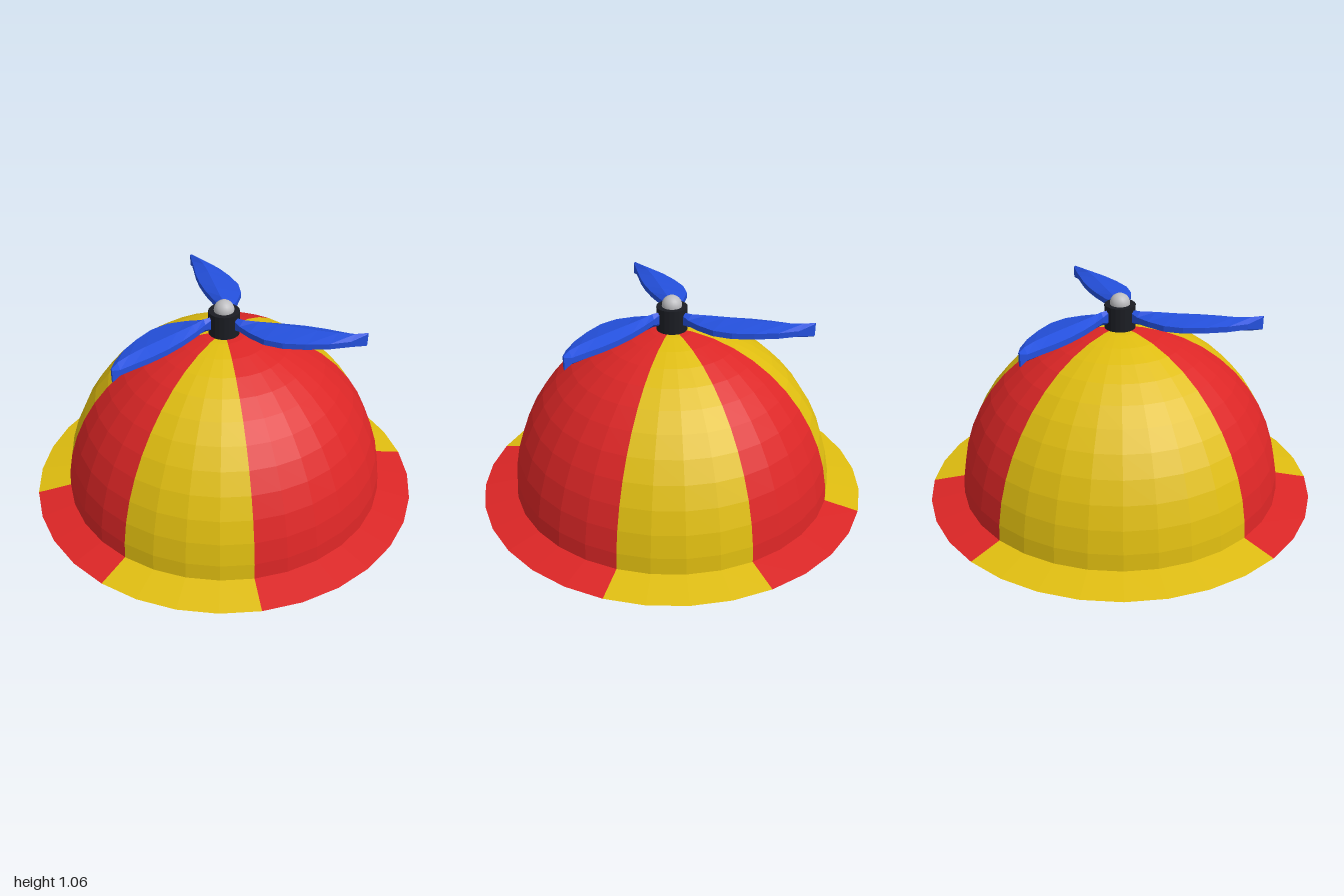
import * as THREE from 'three';

// Faceted copy of a geometry
function flat(geo) {
  const g = geo.index ? geo.toNonIndexed() : geo;
  g.computeVertexNormals();
  return g;
}

// One propeller blade: lens-shaped sections running from hub to tip
// Each station: x, z of back edge, z of ridge, z of front edge
function bladeGeometry() {
  const stations = [
    [0.05, -0.008, 0.0, 0.008], [0.11, -0.025, -0.005, 0.028], [0.18, -0.07, -0.035, 0.05],
    [0.27, -0.12, -0.065, 0.063], [0.36, -0.16, -0.095, 0.042], [0.45, -0.19, -0.125, -0.01],
    [0.54, -0.212, -0.16, -0.078], [0.61, -0.23, -0.198, -0.152], [0.652, -0.245, -0.238, -0.228],
  ];
  const top = 0.985, bottom = 0.915, mid = 0.95, n = 6;
  const pos = [], idx = [];
  stations.forEach(([x, back, ridge, front], i) => {
    const end = i === 0 || i === stations.length - 1;
    const h = end ? 0.03 : 0.014;
    pos.push(x, mid + h, back, x, top, ridge, x, mid + h, front);
    pos.push(x, mid - h, front, x, bottom, ridge, x, mid - h, back);
  });
  for (let i = 0; i < stations.length - 1; i++) {
    for (let j = 0; j < n; j++) {
      const a = i * n + j, b = i * n + (j + 1) % n;
      idx.push(a, b, a + n, b, b + n, a + n);
    }
  }
  // End caps
  const last = (stations.length - 1) * n;
  for (let j = 1; j < n - 1; j++) {
    idx.push(0, j + 1, j, last, last + j, last + j + 1);
  }
  const g = new THREE.BufferGeometry();
  g.setAttribute('position', new THREE.Float32BufferAttribute(pos, 3));
  g.setIndex(idx);
  return flat(g);
}

export function createModel() {
  const material = (name, color, side = THREE.FrontSide) => {
    const m = new THREE.MeshStandardMaterial({ color, side });
    m.name = name;
    return m;
  };
  const red = material('red', 0xdc2626, THREE.DoubleSide);
  const yellow = material('yellow', 0xdfbd10, THREE.DoubleSide);
  const blue = material('blue', 0x2450dc, THREE.DoubleSide);
  const black = material('black', 0x1b1d23);
  const silver = material('silver', 0xbdbdc0);

  const model = new THREE.Group();
  model.name = 'propellerHat';
  const add = (name, geo, mat, y = 0) => {
    const mesh = new THREE.Mesh(geo, mat);
    mesh.name = name;
    mesh.position.y = y;
    model.add(mesh);
    return mesh;
  };

  // Profiles of dome and brim
  const radius = 0.83, height = 0.89, rows = 12;
  const dome = [];
  for (let i = 0; i <= rows; i++) {
    const a = (i / rows) * Math.PI / 2;
    dome.push(new THREE.Vector2(i === rows ? 0 : radius * Math.cos(a), height * Math.sin(a)));
  }
  const brim = [new THREE.Vector2(1, 0), new THREE.Vector2(radius - 0.002, 0.03)];

  // Coloured panels: start and width in eighths of a turn, from the front towards +x
  const panels = [
    [0, 1, yellow], [1, 2, red], [3, 1, yellow], [4, 1, red], [5, 2, yellow], [7, 1, red],
  ];
  panels.forEach(([start, width, mat], i) => {
    const arc = [width * 4, start * Math.PI / 4, width * Math.PI / 4];
    add(`domePanel${i + 1}`, flat(new THREE.LatheGeometry(dome, ...arc)), mat);
    add(`brimPanel${i + 1}`, flat(new THREE.LatheGeometry(brim, ...arc)), mat);
  });

  // Hub and ball on top
  add('hub', flat(new THREE.CylinderGeometry(0.077, 0.077, 0.12, 20)), black, 0.945);
  add('ball', new THREE.SphereGeometry(0.05, 20, 14), silver, 1.01);

  // Three blades
  const blade = bladeGeometry();
  for (let i = 0; i < 3; i++) {
    add(`blade${i + 1}`, blade, blue).rotation.y = i * Math.PI * 2 / 3;
  }
  return model;
}
